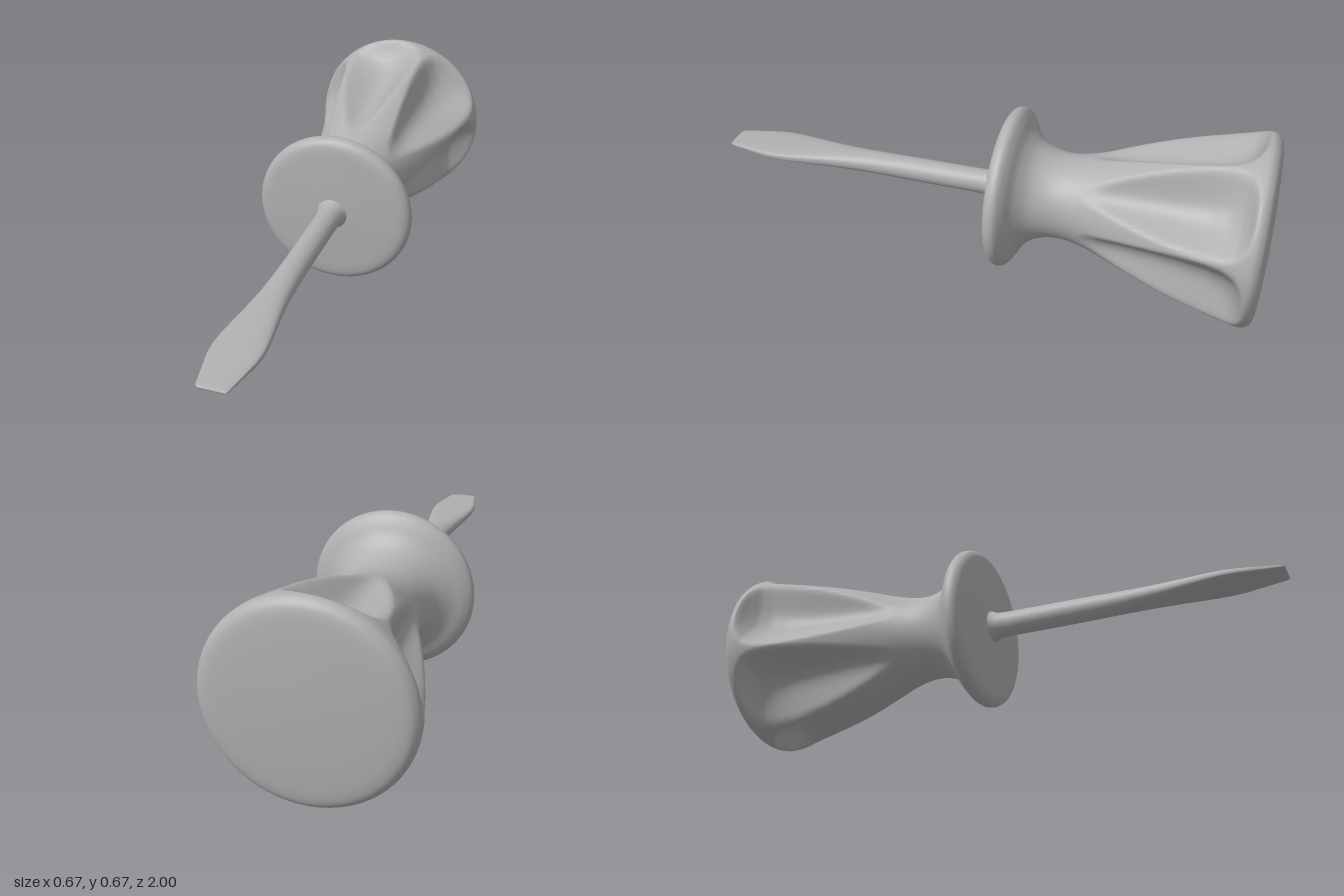
import * as THREE from 'three';

const AXIS_Y = 0.338;

// Skin a list of closed rings running along +z; point(ring, angle) gives [x, y, z]
function loft(rings, sides, point) {
  const pos = [], idx = [];
  rings.forEach((ring) => {
    for (let j = 0; j < sides; j++) pos.push(...point(ring, (j / sides) * Math.PI * 2));
  });
  for (let i = 0; i < rings.length - 1; i++) {
    for (let j = 0; j < sides; j++) {
      const k = (j + 1) % sides;
      const a = i * sides + j, b = i * sides + k, c = a + sides, d = b + sides;
      idx.push(a, b, c, b, d, c);
    }
  }
  const g = new THREE.BufferGeometry();
  g.setAttribute('position', new THREE.Float32BufferAttribute(pos, 3));
  g.setIndex(idx);
  g.computeVertexNormals();
  return g;
}

// Smooth interpolation through [z, value] pairs
function sample(table, z) {
  if (z <= table[0][0]) return table[0][1];
  for (let i = 1; i < table.length; i++) {
    const [z0, v0] = table[i - 1], [z1, v1] = table[i];
    if (z <= z1) return v0 + ((v1 - v0) * (z - z0)) / (z1 - z0);
  }
  return table[table.length - 1][1];
}

function smoothMin(a, b, k) {
  const h = Math.max(k - Math.abs(a - b), 0) / k;
  return Math.min(a, b) - (h * h * k) / 4;
}

// Handle: turned profile with six scooped flutes
function handleGeometry() {
  const profile = [
    [-1, 0.001], [-0.998, 0.1], [-0.993, 0.22], [-0.985, 0.295], [-0.968, 0.325], [-0.94, 0.334],
    [-0.88, 0.324], [-0.78, 0.301], [-0.68, 0.274], [-0.58, 0.241], [-0.48, 0.204], [-0.4, 0.174],
    [-0.32, 0.155], [-0.25, 0.155], [-0.19, 0.175], [-0.15, 0.213], [-0.125, 0.258], [-0.105, 0.282],
    [-0.085, 0.286], [-0.066, 0.275], [-0.055, 0.245], [-0.05, 0.17], [-0.046, 0.08], [-0.044, 0.001],
  ];
  const rings = new THREE.SplineCurve(profile.map((p) => new THREE.Vector2(...p))).getPoints(161);
  const floor = [
    [-0.97, 0.42], [-0.945, 0.345], [-0.925, 0.297], [-0.9, 0.257], [-0.86, 0.228], [-0.8, 0.207],
    [-0.7, 0.19], [-0.6, 0.179], [-0.5, 0.172], [-0.4, 0.168], [-0.3, 0.19], [-0.2, 0.4],
  ];
  const ridge = THREE.MathUtils.degToRad(11);
  const step = Math.PI / 3;
  return loft(rings, 180, (p, t) => {
    // u is 0 along a flute's middle and 1 on the ridges
    const turn = (((t - ridge) / step) % 1 + 1) % 1;
    const u = Math.abs(turn - 0.5) * 2;
    const cut = sample(floor, p.x) + 0.115 * Math.pow(u, 2.2);
    const r = Math.max(0.001, smoothMin(p.y, cut, 0.016));
    return [r * Math.cos(t), r * Math.sin(t), p.x];
  });
}

// Shaft: round rod that flares sideways and thins into a flat blade
function shaftGeometry() {
  // z, half width, half height, section power (1 = round, lower = squarer)
  const rings = [
    [-0.06, 0.064, 0.064, 1], [-0.04, 0.054, 0.054, 1], [-0.02, 0.046, 0.046, 1], [0.02, 0.044, 0.044, 1],
    [0.3, 0.044, 0.042, 1], [0.42, 0.046, 0.038, 0.95], [0.52, 0.052, 0.034, 0.9], [0.6, 0.06, 0.03, 0.8],
    [0.68, 0.071, 0.025, 0.7], [0.75, 0.08, 0.02, 0.6], [0.8, 0.083, 0.017, 0.55], [0.85, 0.08, 0.014, 0.5],
    [0.91, 0.068, 0.01, 0.45], [0.97, 0.056, 0.007, 0.45], [0.99, 0.052, 0.006, 0.45],
    [1, 0.045, 0.004, 0.5], [1, 0.0005, 0.0005, 1],
  ];
  const bend = (v, p) => Math.sign(v) * Math.pow(Math.abs(v), p);
  return loft(rings, 40, ([z, w, h, p], t) => [w * bend(Math.cos(t), p), h * bend(Math.sin(t), p), z]);
}

export function createModel() {
  const grey = new THREE.MeshStandardMaterial({ color: 0xb0b0b0 });
  grey.name = 'plain grey';
  const group = new THREE.Group();
  group.name = 'screwdriver';
  const parts = { handle: handleGeometry(), shaftAndBlade: shaftGeometry() };
  for (const [name, geometry] of Object.entries(parts)) {
    const mesh = new THREE.Mesh(geometry, grey);
    mesh.name = name;
    mesh.position.y = AXIS_Y;
    group.add(mesh);
  }
  return group;
}
